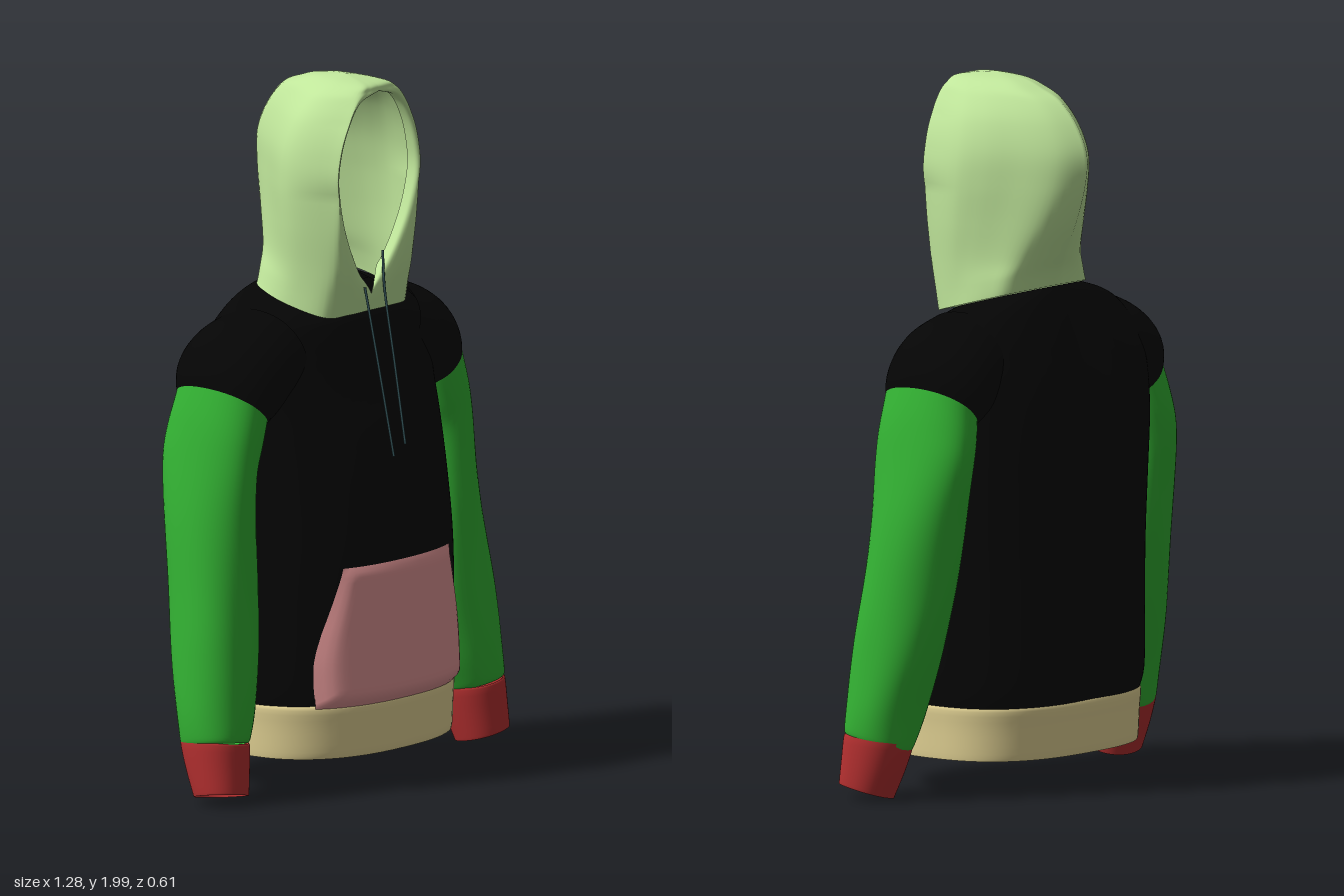
import * as THREE from 'three';

// Smooth interpolation of a table of rows, t in 0..1 along the rows
function sample(rows, t) {
  const f = t * (rows.length - 1), i = Math.min(Math.floor(f), rows.length - 2), u = f - i;
  const at = k => rows[Math.max(0, Math.min(rows.length - 1, k))];
  return rows[i].map((_, c) => {
    const a = at(i)[c], b = at(i + 1)[c], m = (b - at(i - 1)[c]) / 2, n = (at(i + 2)[c] - a) / 2;
    const u2 = u * u, u3 = u2 * u;
    return a * (2 * u3 - 3 * u2 + 1) + m * (u3 - 2 * u2 + u) + b * (3 * u2 - 2 * u3) + n * (u3 - u2);
  });
}

// Skin over a grid of points p(s, t): s around, t from bottom to top
function loft(name, color, cols, rows, closed, p) {
  const pos = [], idx = [], n = closed ? cols : cols + 1;
  for (let i = 0; i <= rows; i++)
    for (let j = 0; j < n; j++) pos.push(...p(j / cols, i / rows));
  for (let i = 0; i < rows; i++)
    for (let j = 0; j < cols; j++) {
      const k = (j + 1) % n, a = i * n + j, b = i * n + k, c = a + n, d = b + n;
      idx.push(a, c, b, b, c, d);
    }
  const g = new THREE.BufferGeometry();
  g.setAttribute('position', new THREE.Float32BufferAttribute(pos, 3));
  g.setIndex(idx);
  g.computeVertexNormals();
  const mesh = new THREE.Mesh(g, new THREE.MeshStandardMaterial({ color, side: THREE.DoubleSide }));
  mesh.name = name;
  return mesh;
}

const spow = (v, e) => Math.sign(v) * Math.abs(v) ** e;
const BLACK = 0x050505;

// Torso rows: y, half width, front z, back z, squareness, forward tilt
const TORSO = [
  [0.25, 0.373, 0.272, -0.285, 2.4, 0],
  [0.32, 0.385, 0.28, -0.3, 2.4, 0],
  [0.50, 0.385, 0.28, -0.302, 2.4, 0],
  [0.68, 0.383, 0.275, -0.305, 2.4, 0],
  [0.86, 0.383, 0.25, -0.311, 2.4, 0],
  [1.00, 0.383, 0.215, -0.309, 2.5, 0],
  [1.10, 0.385, 0.18, -0.296, 2.6, 0],
  [1.18, 0.388, 0.158, -0.277, 2.6, 0],
  [1.24, 0.38, 0.149, -0.258, 2.5, 0.02],
  [1.30, 0.365, 0.142, -0.235, 2.4, 0.06],
  [1.36, 0.315, 0.135, -0.207, 2.4, 0.14],
  [1.395, 0.255, 0.13, -0.185, 2.4, 0.22],
  [1.415, 0.19, 0.126, -0.163, 2.3, 0.27],
];

function torso() {
  return loft('torso', BLACK, 96, 64, true, (s, t) => {
    const [y, w, zf, zb, n, tilt] = sample(TORSO, t), a = s * Math.PI * 2, back = Math.sin(a) < 0;
    const e = 2 / (back ? n + 0.25 : n), x = w * spow(Math.cos(a), e);
    let z = (zf + zb) / 2 + (zf - zb) / 2 * spow(Math.sin(a), e);
    // Soft fold down the middle of the back
    if (back) z += 0.035 * Math.exp(-((x / 0.09) ** 2)) * Math.sin(Math.PI * t);
    return [x, y - tilt * (z - zb), z];
  });
}

function waistband() {
  const rows = [[0.11, 0.37, 0.274, -0.282], [0.13, 0.372, 0.278, -0.285], [0.2, 0.375, 0.28, -0.288],
    [0.25, 0.379, 0.281, -0.291], [0.262, 0.373, 0.272, -0.284]];
  return loft('waistband', 0xe5d596, 72, 12, true, (s, t) => {
    const [y, w, zf, zb] = sample(rows, t), a = s * Math.PI * 2, e = Math.sin(a) < 0 ? 0.755 : 0.82;
    return [w * spow(Math.cos(a), e), y, (zf + zb) / 2 + (zf - zb) / 2 * spow(Math.sin(a), e)];
  });
}

// Front pocket: a patch that follows the torso front and puffs out
function pocket() {
  const widths = [[0.298], [0.302], [0.301], [0.288], [0.267], [0.245], [0.226]];
  return loft('frontPocket', 0xe09595, 40, 28, false, (s, t) => {
    const y = 0.255 + 0.395 * t, x = sample(widths, t)[0] * (1 - 2 * s);
    const zf = 0.28 - 0.004 * t, d = (zf + 0.3) / 2;
    const z = zf - d + d * (1 - Math.abs(x / 0.385) ** 2.4) ** (1 / 2.4);
    const edge = Math.min(1, Math.min(s, 1 - s) * 14, t * 10, (1 - t) * 14);
    return [x, y, z + 0.002 + Math.sin(edge * Math.PI / 2) * (0.028 - 0.018 * t)];
  });
}

// Arm rows, going up: outer x, y, inner x, y, front z, back z
const SHOULDER = [
  [0.499, 1.172, 0.335, 1.04, 0.108, -0.188],
  [0.489, 1.215, 0.315, 1.05, 0.117, -0.203],
  [0.463, 1.262, 0.295, 1.06, 0.124, -0.214],
  [0.42, 1.304, 0.27, 1.08, 0.128, -0.216],
  [0.36, 1.337, 0.24, 1.10, 0.128, -0.21],
  [0.28, 1.36, 0.2, 1.12, 0.12, -0.195],
];
const SLEEVE = [
  [0.63, 0.185, 0.462, 0.16, 0.138, -0.047],
  [0.637, 0.205, 0.45, 0.18, 0.143, -0.055],
  [0.637, 0.30, 0.412, 0.27, 0.138, -0.075],
  [0.624, 0.45, 0.382, 0.41, 0.128, -0.11],
  [0.60, 0.62, 0.374, 0.58, 0.115, -0.145],
  [0.575, 0.82, 0.372, 0.76, 0.104, -0.178],
  [0.547, 0.98, 0.37, 0.89, 0.106, -0.2],
  [0.525, 1.08, 0.355, 0.97, 0.11, -0.2],
  [0.499, 1.172, 0.335, 1.04, 0.108, -0.188],
];
const CUFF = [
  [0.63, 0.047, 0.486, 0.02, 0.153, 0.002],
  [0.632, 0.055, 0.483, 0.028, 0.155, -0.002],
  [0.635, 0.12, 0.468, 0.095, 0.15, -0.03],
  [0.636, 0.19, 0.456, 0.165, 0.144, -0.053],
  [0.628, 0.197, 0.465, 0.172, 0.137, -0.045],
];

function armTube(name, color, table, rows, fold, tilt) {
  return loft(name, color, 48, rows, true, (s, t) => {
    const [xo, yo, xi, yi, zf, zb] = sample(table, t), a = s * Math.PI * 2;
    const r = 1 + fold * Math.sin(Math.PI * t) * Math.sin(3 * a + 14 * t);
    const c = r * spow(Math.cos(a), 0.93), q = r * spow(Math.sin(a), 0.93), h = (zf - zb) / 2;
    return [(xo + xi) / 2 + c * (xo - xi) / 2,
      (yo + yi) / 2 + c * (yo - yi) / 2 + tilt * q * h * (1 - t),
      (zf + zb) / 2 + q * h];
  });
}

function arm(name) {
  const g = new THREE.Group();
  g.name = name;
  g.add(armTube('shoulder', BLACK, SHOULDER, 20, 0, 0),
    armTube('sleeve', 0x33b233, SLEEVE, 48, 0.02, 0.2),
    armTube('cuff', 0xb53030, CUFF, 12, 0, 0.2));
  return g;
}

// Hood rows: y, half width, half opening, front z, back z, back fullness, tilt
const HOOD = [
  [1.335, 0.205, 0, 0.138, -0.172, 0.99, 0.27],
  [1.39, 0.203, 0.008, 0.15, -0.184, 0.95, 0.22],
  [1.47, 0.204, 0.07, 0.164, -0.21, 0.86, 0.12],
  [1.59, 0.21, 0.132, 0.172, -0.255, 0.75, 0.03],
  [1.71, 0.21, 0.165, 0.175, -0.292, 0.67, 0],
  [1.80, 0.198, 0.157, 0.176, -0.3, 0.65, 0],
  [1.88, 0.17, 0.127, 0.178, -0.262, 0.67, 0],
  [1.94, 0.13, 0.08, 0.178, -0.2, 0.72, 0],
  [1.968, 0.1, 0.0, 0.175, -0.13, 0.8, 0],
  [1.988, 0.06, 0, 0.155, -0.06, 0.85, 0],
  [2.0, 0, 0, 0.05, 0.05, 0.9, 0],
];

function hood() {
  return loft('hood', 0xbfe59a, 80, 80, false, (s, t) => {
    const [y, w, open, zf, zb, full, tilt] = sample(HOOD, t);
    const o = Math.max(0, open), d = zf - zb, lip = Math.min(1, o / 0.05);
    const brow = Math.max(w * 0.83, o + 0.015 * lip);
    // Half outline from the rolled rim round to the back seam
    const half = [
      [o + 0.012 * lip, zf - 0.05 * lip], [o, zf - 0.012 * lip], [(o + brow) / 2, zf],
      [brow, zf - d * 0.04], [w, zf - d * 0.34],
      [w * full, zf - d * 0.65], [w * full * full * 0.8, zf - d * 0.88], [0, zb],
    ];
    const [x, z] = sample(half, 1 - Math.abs(2 * s - 1));
    // The tip of the hood leans to the left
    const lean = d > 0 ? 0.07 * Math.max(0, (zf - z) / d - 0.4) * Math.sin(Math.PI * t) : 0;
    return [(s < 0.5 ? -x : x) + lean + 0.005, y + tilt * (zf - z), z];
  });
}

function drawstring(name, points) {
  const curve = new THREE.CatmullRomCurve3(points.map(p => new THREE.Vector3(...p)));
  const mesh = new THREE.Mesh(new THREE.TubeGeometry(curve, 24, 0.0035, 8),
    new THREE.MeshStandardMaterial({ color: 0x35555a }));
  mesh.name = name;
  return mesh;
}

export function createModel() {
  const model = new THREE.Group();
  model.name = 'hoodedSweatshirt';
  const leftArm = arm('leftArm'), rightArm = arm('rightArm');
  rightArm.scale.x = -1;
  model.add(torso(), waistband(), pocket(), leftArm, rightArm, hood(),
    drawstring('leftDrawstring', [[0.055, 1.5, 0.145], [0.045, 1.4, 0.16], [0.04, 1.2, 0.2], [0.032, 0.965, 0.248]]),
    drawstring('rightDrawstring', [[-0.036, 1.41, 0.158], [-0.034, 1.2, 0.205], [-0.026, 0.94, 0.256]]));
  return model;
}
